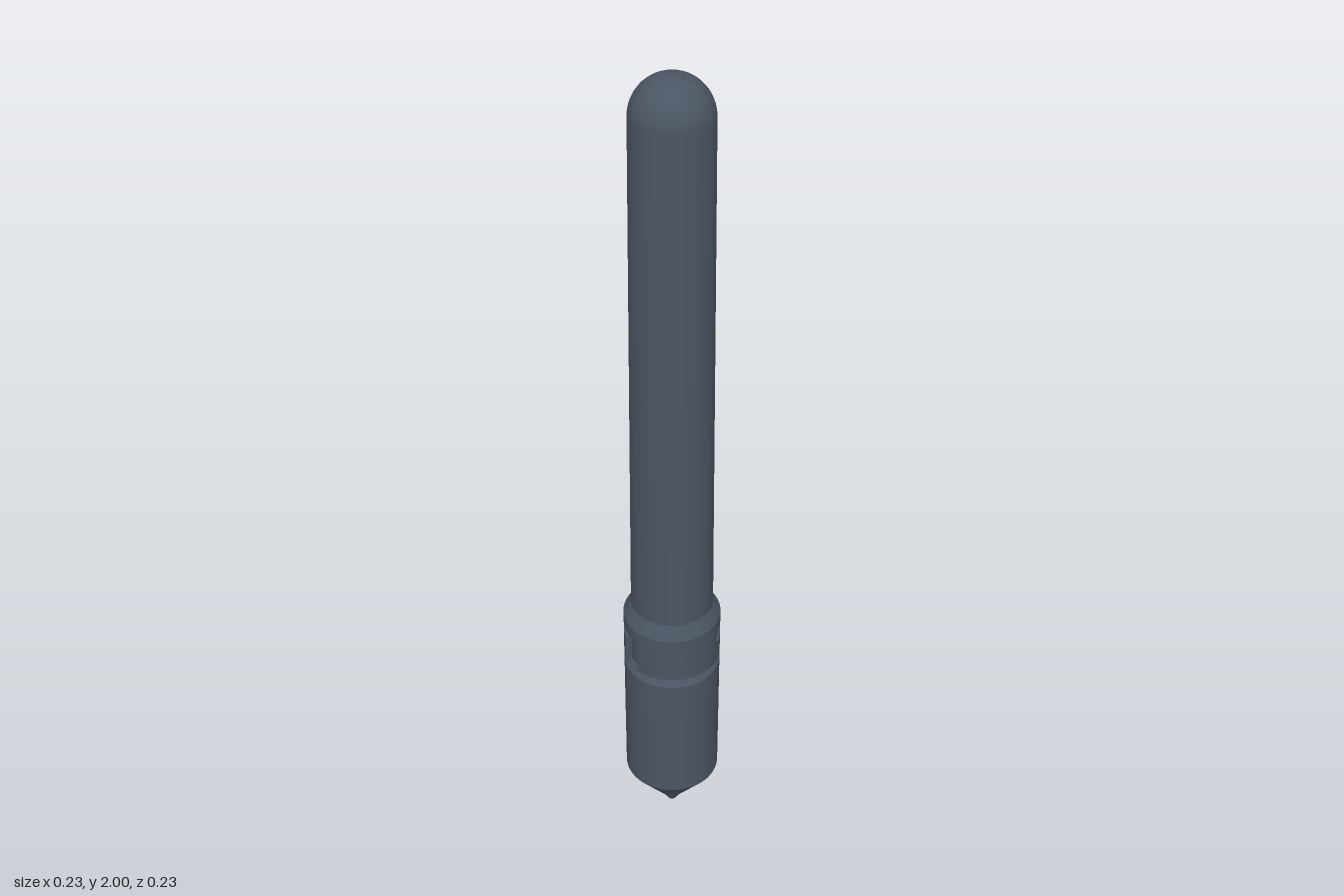
import * as THREE from 'three';
import { toCreasedNormals } from 'three/addons/utils/BufferGeometryUtils.js';

const SEGMENTS = 64;
const rad = THREE.MathUtils.degToRad;

export function createModel() {
  const group = new THREE.Group();
  const slate = new THREE.MeshStandardMaterial({ color: 0x4b5563 });
  slate.name = 'slate';

  const add = (name, geometry) => {
    const mesh = new THREE.Mesh(toCreasedNormals(geometry, 0.4), slate);
    mesh.name = name;
    group.add(mesh);
  };

  // Turned part from [radius, height] pairs, listed bottom to top
  const turned = (name, pairs) => {
    const points = pairs.map(([r, y]) => new THREE.Vector2(r, y));
    add(name, new THREE.LatheGeometry(points, SEGMENTS));
  };

  // Quarter circle profile from the equator up to the pole
  const dome = (radius, y) => Array.from({ length: 13 }, (_, i) => {
    const a = (i / 12) * Math.PI / 2;
    return [radius * Math.cos(a), y + radius * Math.sin(a)];
  });

  // Block of the coupling ring between two angles, from +x towards -z
  const ringBlock = (name, from, to, bottom, top) => {
    const shape = new THREE.Shape();
    shape.absarc(0, 0, 0.115, rad(from), rad(to), false);
    shape.absarc(0, 0, 0.094, rad(to), rad(from), true);
    const geometry = new THREE.ExtrudeGeometry(shape, {
      depth: top - bottom, bevelEnabled: false, curveSegments: 24,
    });
    geometry.rotateX(-Math.PI / 2);
    geometry.translate(0, bottom, 0);
    add(name, geometry);
  };

  // Slightly tapered handle with a round end
  turned('handle', [[0.097, 0.67], ...dome(0.0875, 1.9125)]);

  // Pointed head with a blunted tip and chamfered shoulder
  turned('pointedHead', [
    [0, 0], [0.007, 0.002], [0.012, 0.006], [0.016, 0.014], [0.019, 0.021],
    [0.115, 0.15], [0.115, 0.503], [0.1, 0.524], [0, 0.524],
  ]);

  // Inner spigot seen through the slots
  turned('spigot', [[0.1, 0.51], [0.1, 0.63]]);

  // Shoulder of the collar above the slots
  turned('collarShoulder', [
    [0.094, 0.617], [0.115, 0.617], [0.115, 0.65], [0.096, 0.686],
  ]);

  // Two opposite bayonet slots: open entry, sideways run and a locking notch
  for (const turn of [0, 180]) {
    ringBlock('collarWall', turn + 57, turn + 170, 0.528, 0.617);
    ringBlock('slotLedge', turn + 5, turn + 30, 0.528, 0.595);
    ringBlock('slotNotch', turn - 10, turn + 5, 0.528, 0.582);
  }
  return group;
}
